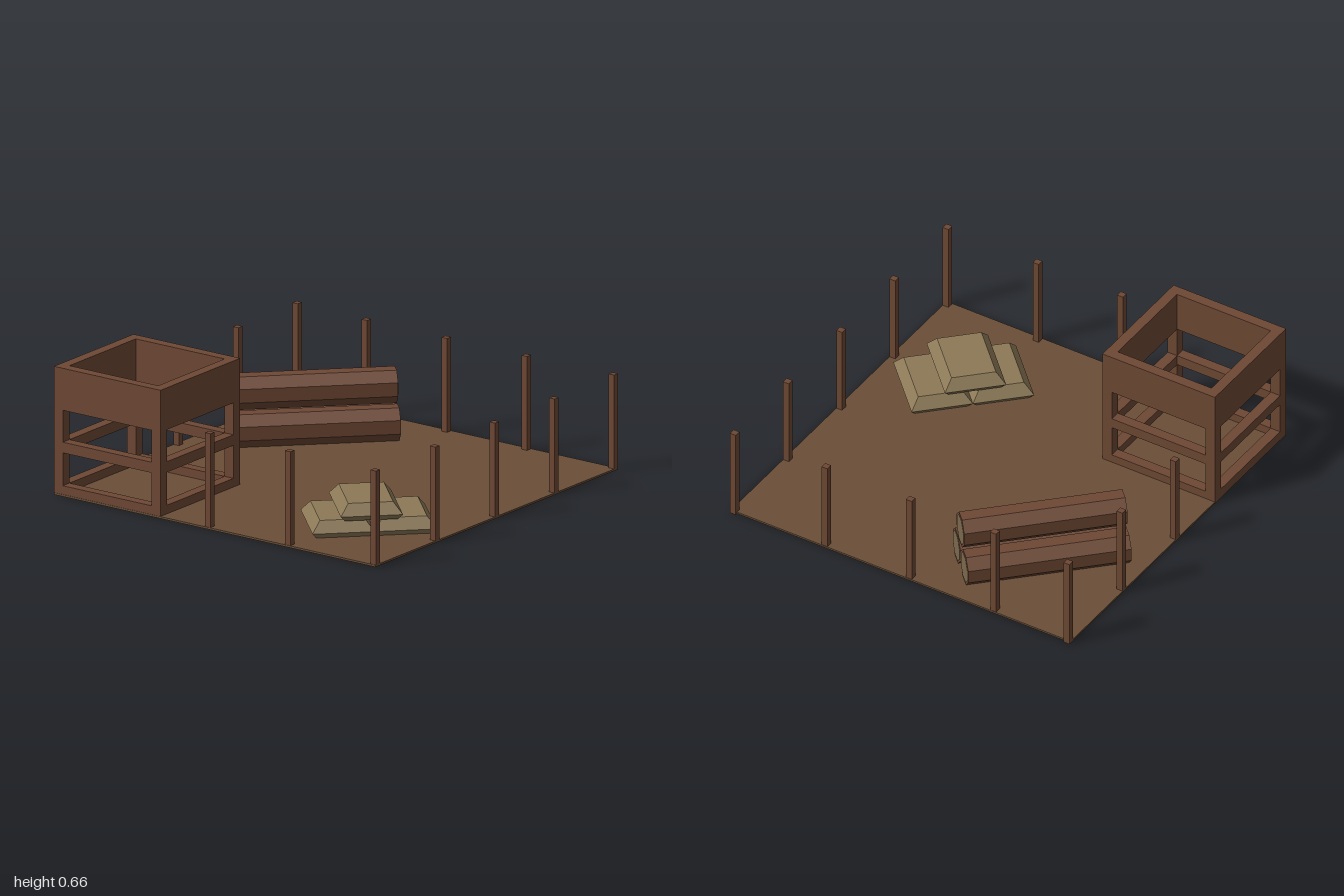
import * as THREE from 'three';

const mat = (color) => new THREE.MeshStandardMaterial({ color, flatShading: true });

export function createModel() {
  const wood = mat(0x6e4834), soil = mat(0x6b4f38), cloth = mat(0x8c7957), cutWood = mat(0x7c694c);
  const model = new THREE.Group();

  const addGroup = (name, x = 0, z = 0, turn = 0) => {
    const g = new THREE.Group();
    g.name = name;
    g.position.set(x, 0, z);
    g.rotation.y = turn;
    model.add(g);
    return g;
  };
  const add = (parent, name, geometry, material, x, y, z) => {
    const m = new THREE.Mesh(geometry, material);
    m.name = name;
    m.position.set(x, y, z);
    parent.add(m);
    return m;
  };
  const box = (parent, name, w, h, d, x, y, z, material = wood) =>
    add(parent, name, new THREE.BoxGeometry(w, h, d), material, x, y, z);

  // Thin ground slab
  box(model, 'ground', 1.985, 0.01, 1.98, -0.0075, 0.005, 0, soil);

  // Boundary posts, with a gap at the corner taken by the crate frame
  const fence = addGroup('boundaryPosts');
  const spots = [
    ...[-0.98, -0.49, 0, 0.49, 0.98].map((x) => [x, 0.973]),
    ...[0, 0.49, 0.98].map((x) => [x, -0.973]),
    ...[0.447, -0.045].map((z) => [-0.98, z]),
    ...[0.447, -0.045, -0.537].map((z) => [0.966, z]),
  ];
  for (const [x, z] of spots) box(fence, 'post', 0.034, 0.495, 0.034, x, 0.2475, z);

  // Open wooden frame with a solid upper band
  const frame = addGroup('woodenFrame', -0.67, -0.663);
  const size = 0.656, t = 0.055, half = (size - t) / 2;
  for (const sx of [-1, 1]) for (const sz of [-1, 1])
    box(frame, 'cornerPost', t, 0.445, t, sx * half, 0.2225, sz * half);
  const levels = [['bottomRail', 0.005, 0.055], ['middleRail', 0.225, 0.28], ['upperPanel', 0.445, 0.662]];
  for (const [name, y0, y1] of levels) {
    const h = y1 - y0, y = (y0 + y1) / 2;
    // panels run to the corners, rails fit between the posts
    const long = name === 'upperPanel' ? size : size - 2 * t;
    for (const s of [-1, 1]) {
      box(frame, name, long, h, t, 0, y, s * half);
      box(frame, name, t, h, size - 2 * t, s * half, y, 0);
    }
  }

  // Pile of three octagonal logs
  const logs = addGroup('logPile', 0.497, -0.515, -Math.PI / 4);
  const logLength = 0.825, r = 0.092;
  const octagon = (radius, length) =>
    new THREE.CylinderGeometry(radius, radius, length, 8, 1, false, Math.PI / 8).rotateZ(Math.PI / 2);
  for (const [y, z] of [[0.094, -0.089], [0.094, 0.089], [0.261, 0]]) {
    add(logs, 'log', octagon(r, logLength), wood, 0, y, z);
    for (const s of [-1, 1])
      add(logs, 'logCutEnd', octagon(r * 0.86, 0.004), cutWood, s * logLength / 2, y, z);
  }

  // Sacks: boxes whose top and bottom are drawn in from the widest line
  const sacks = addGroup('sackPile', -0.488, 0.566, -Math.PI / 4);
  const sackGeometry = (w, h, d) => {
    const g = new THREE.BoxGeometry(w, h, d, 1, 2, 1);
    const p = g.attributes.position;
    for (let i = 0; i < p.count; i++) {
      const y = p.getY(i);
      const inset = y > 0.001 ? 0.043 : y < -0.001 ? 0.022 : 0;
      p.setX(i, p.getX(i) - Math.sign(p.getX(i)) * inset);
      p.setZ(i, p.getZ(i) - Math.sign(p.getZ(i)) * inset);
      if (inset === 0) p.setY(i, -h * 0.17);
    }
    g.computeVertexNormals();
    return g;
  };
  for (const [x, y, z] of [[-0.155, 0.052, 0], [0.155, 0.052, 0], [-0.015, 0.136, 0.007]])
    add(sacks, 'sack', sackGeometry(0.31, 0.084, 0.412), cloth, x, y, z);

  return model;
}
